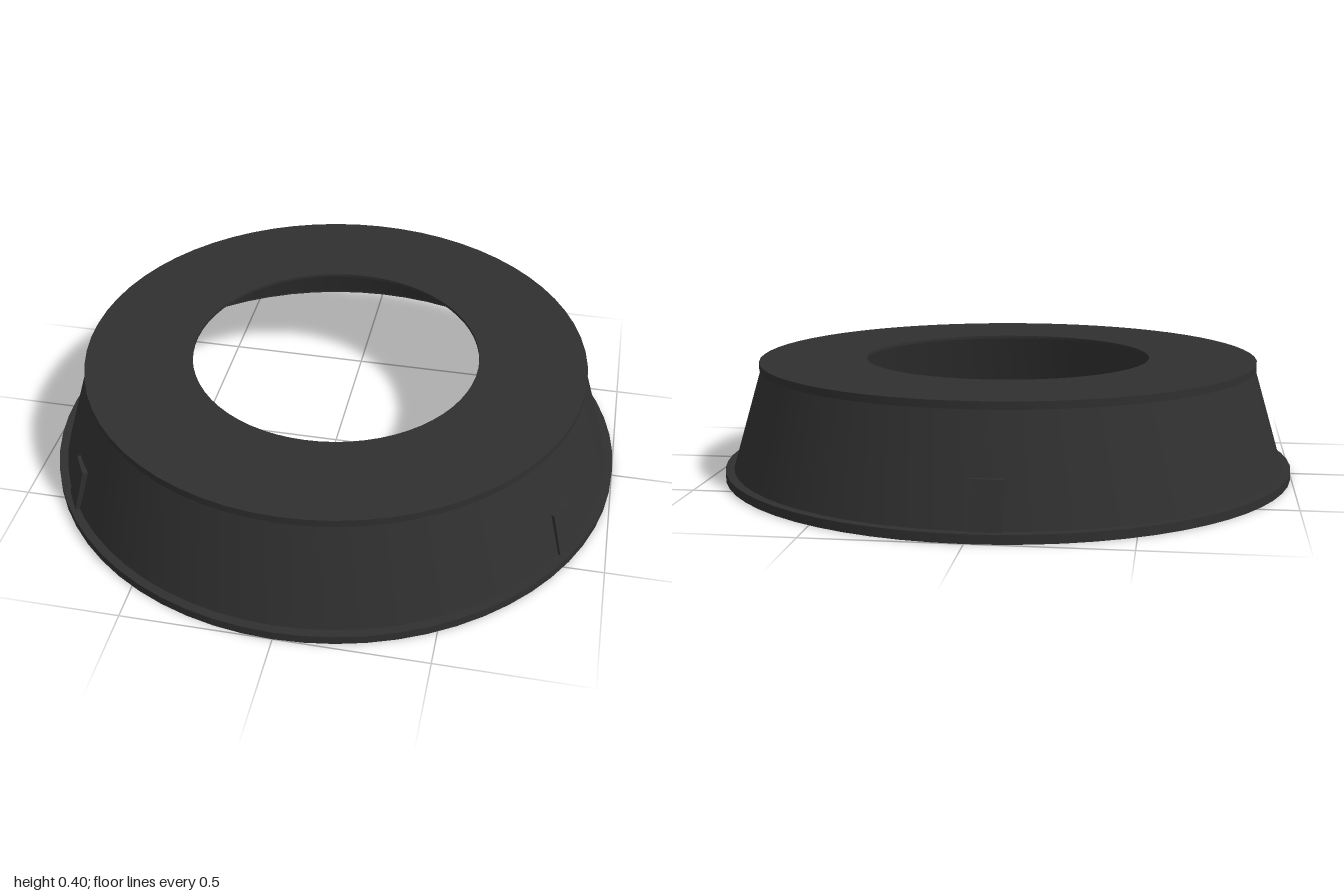
import * as THREE from 'three';
import { toCreasedNormals } from 'three/addons/utils/BufferGeometryUtils.js';

export function createModel() {
  const model = new THREE.Group();
  model.name = 'taperedRing';
  const charcoal = new THREE.MeshStandardMaterial({ color: 0x303030 });
  charcoal.name = 'charcoal';

  // Lathe a band of the shell; the profile runs with the solid on its left
  const band = (name, profile) => {
    const points = profile.map(([r, y]) => new THREE.Vector2(r, y));
    const geometry = toCreasedNormals(new THREE.LatheGeometry(points, 64), 0.2);
    const mesh = new THREE.Mesh(geometry, charcoal);
    mesh.name = name;
    model.add(mesh);
  };

  // Foot flange with a shallow lip underneath
  band('footFlange', [[0.955, 0.03], [0.99, 0.03], [0.99, 0], [1, 0], [1, 0.03], [0.97, 0.03]]);
  // Sloping outer and inner walls
  band('outerWall', [[0.97, 0.03], [0.868, 0.375]]);
  band('innerWall', [[0.855, 0.39], [0.955, 0.03]]);
  // Top plate with a vertical rim and a round opening
  band('topPlate', [[0.868, 0.375], [0.873, 0.375], [0.873, 0.4], [0.5, 0.4], [0.5, 0.39], [0.855, 0.39]]);

  // Three locking tabs lying against the wall, set slightly off the radius
  const section = new THREE.Shape([[0.958, 0.03], [0.978, 0.03], [0.937, 0.18], [0.915, 0.18]]
    .map(([r, y]) => new THREE.Vector2(r, y)));
  const tabGeometry = new THREE.ExtrudeGeometry(section, { depth: 0.1, bevelEnabled: false });
  tabGeometry.translate(0, 0, -0.11);
  for (let i = 0; i < 3; i++) {
    const tab = new THREE.Mesh(tabGeometry, charcoal);
    tab.name = `lockingTab${i + 1}`;
    tab.rotation.y = Math.PI / 2 + (i * Math.PI * 2) / 3;
    model.add(tab);
  }
  return model;
}
